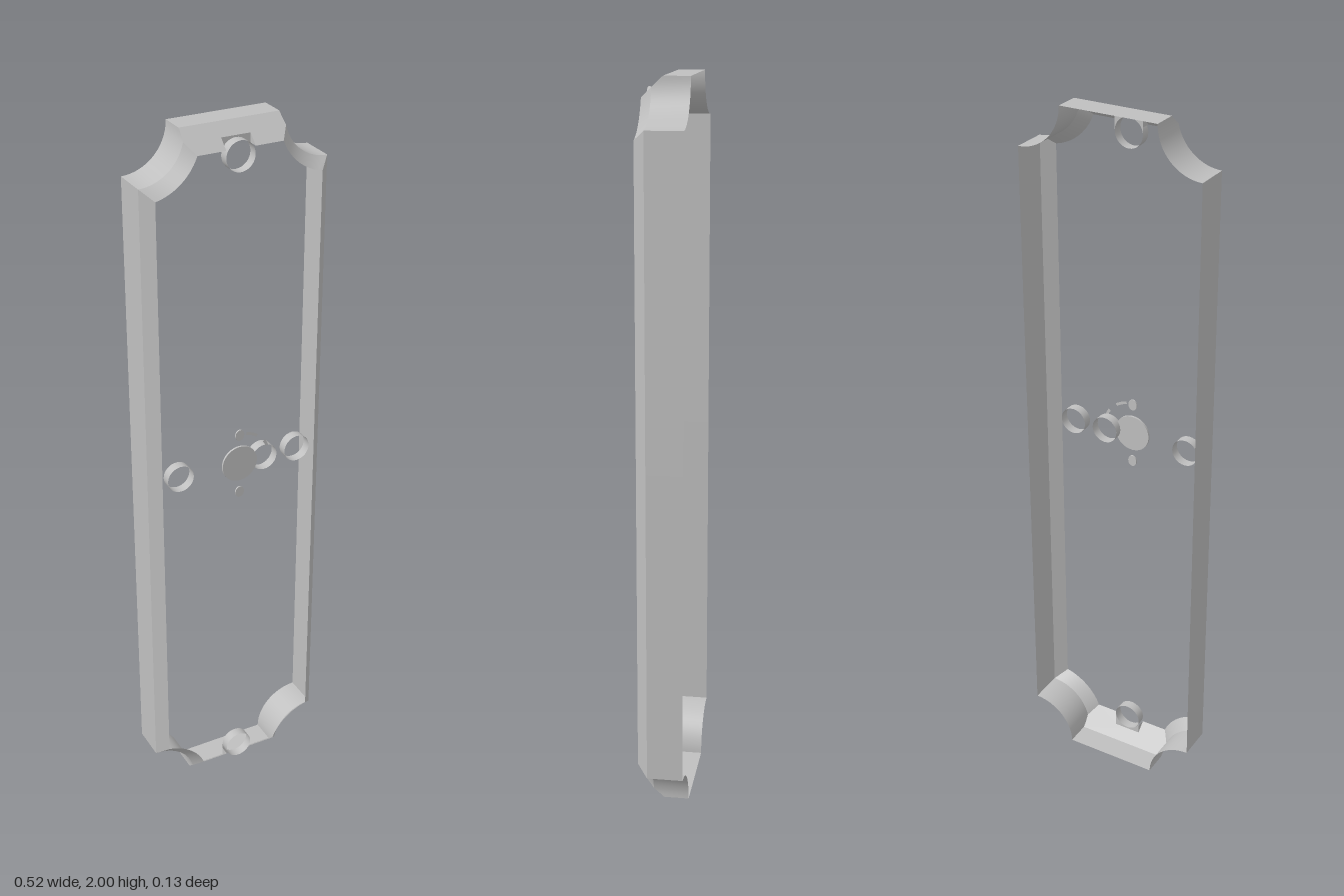
import * as THREE from 'three';

const W = 0.26, BACK = -0.065, FRONT = 0.064, EDGE = 0.034; // half width and depth levels
const R = 0.123, R2 = 0.153, CUT = 0.055;                   // notch radii, end chamfer height
const bevelZ = (dy) => 0.005 + dy * (FRONT - 0.005) / CUT;  // end chamfer plane

const metal = new THREE.MeshStandardMaterial({ color: 0xbfbfbf, side: THREE.DoubleSide });
metal.name = 'plain grey';

function add(parent, geometry, name, x = 0, y = 0, z = 0) {
  const mesh = new THREE.Mesh(geometry, metal);
  mesh.name = name;
  mesh.position.set(x, y, z);
  parent.add(mesh);
  return mesh;
}

// Surface ruled between two rows of points
function strip(rowA, rowB) {
  const pos = [], index = [];
  rowA.forEach((a, i) => {
    pos.push(...a, ...rowB[i]);
    if (i) index.push(2 * i - 2, 2 * i - 1, 2 * i, 2 * i - 1, 2 * i + 1, 2 * i);
  });
  const g = new THREE.BufferGeometry();
  g.setAttribute('position', new THREE.Float32BufferAttribute(pos, 3));
  g.setIndex(index);
  g.computeVertexNormals();
  return g;
}

// Points on the notch, relative to the model's mid height
const notch = (r, t) => [W - r * Math.cos(t), 1 - r * Math.sin(t)];
const sweep = (a, b, n, f) => Array.from({ length: n + 1 }, (_, i) => f(a + (b - a) * i / n));

function frameQuarter() {
  const q = new THREE.Group();
  q.name = 'frameQuarter';
  const t0 = Math.asin((EDGE - 0.005) * CUT / (FRONT - 0.005) / R);
  const t1 = Math.asin(CUT / R2), t2 = Math.acos(0.03 / R2);
  const half = Math.PI / 2;
  const angles = [...sweep(0, t0, 3, (t) => t), ...sweep(t0, half, 14, (t) => t).slice(1)];

  // Notch wall and its chamfer
  add(q, strip(
    angles.map((t) => [...notch(R, t), Math.min(EDGE, bevelZ(R * Math.sin(t)))]),
    angles.map((t) => [...notch(R, t), BACK])), 'notchWall');
  add(q, strip(
    sweep(t0, half, 14, (t) => [...notch(R, t), EDGE]),
    sweep(t1, t2, 14, (t) => [...notch(R2, t), FRONT])), 'notchChamfer');

  // Long side wall and chamfer
  const yOut = 1 - R, yIn = 1 - R2 * Math.sin(t2);
  add(q, strip([[W, 0, BACK], [W, yOut, BACK]], [[W, 0, EDGE], [W, yOut, EDGE]]), 'sideWall');
  add(q, strip([[W, 0, EDGE], [W, yOut, EDGE]],
    [[W - 0.03, 0, FRONT], [W - 0.03, yIn, FRONT]]), 'sideChamfer');

  // End wall and sloping end chamfer with a square bite
  add(q, strip([[0, 1, BACK], [W - R, 1, BACK]], [[0, 1, 0.005], [W - R, 1, 0.005]]), 'endWall');
  const pts = [[0, 1], ...sweep(0, t0, 3, (t) => notch(R, t)), notch(R2, t1),
    [0.04, 1 - CUT], [0.04, 0.97], [0, 0.97]];
  const slope = new THREE.ShapeGeometry(new THREE.Shape(pts.map((p) => new THREE.Vector2(...p))));
  const p = slope.attributes.position;
  for (let i = 0; i < p.count; i++) p.setZ(i, bevelZ(1 - p.getY(i)));
  slope.computeVertexNormals();
  add(q, slope, 'endChamfer');

  // Recess floor around the end hole, and the recess side
  const floor = new THREE.Shape();
  floor.moveTo(0.04, 0.925);
  floor.lineTo(0.04, 0.97);
  floor.lineTo(0, 0.97);
  floor.lineTo(0, 0.965);
  floor.absarc(0, 0.925, 0.04, Math.PI / 2, 0, true);
  add(q, new THREE.ShapeGeometry(floor), 'recessFloor', 0, 0, 0.037);
  add(q, strip([[0.04, 0.97, 0.037], [0.04, 1 - CUT, 0.037]],
    [[0.04, 0.97, 0.037], [0.04, 1 - CUT, FRONT]]), 'recessSide');
  return q;
}

export function createModel() {
  const model = new THREE.Group();
  model.name = 'notchedPlate';

  // Four mirrored quarters of the hollow frame
  for (const sx of [1, -1]) for (const sy of [1, -1]) {
    const q = frameQuarter();
    q.position.y = 1;
    q.scale.set(sx, sy, 1);
    model.add(q);
  }

  // Open hole sleeves
  const holes = [[0, 1.925], [0, 0.075], [-0.176, 1.065], [0.075, 1.065], [0.176, 1.065]];
  holes.forEach(([x, y], i) => {
    const g = new THREE.CylinderGeometry(i < 2 ? 0.04 : 0.038, i < 2 ? 0.04 : 0.038, 0.027, 32, 1, true);
    add(model, g.rotateX(Math.PI / 2), i < 2 ? 'endHole' : 'middleHole', x, y, 0.0505);
  });

  // Central disc
  add(model, new THREE.CylinderGeometry(0.052, 0.052, 0.006, 40).rotateX(Math.PI / 2),
    'centreDisc', 0, 1.065, 0.062);

  // Small marks above and below the disc
  for (const y of [1.152, 0.976]) {
    const mark = add(model, new THREE.CylinderGeometry(0.013, 0.013, 0.004, 16).rotateX(Math.PI / 2),
      'smallMark', 0, y, 0.063);
    mark.scale.y = 1.25;
  }
  // Curved dashes beside the disc
  for (const [start, length] of [[0.95, 0.4], [0.4, 0.22]]) {
    add(model, new THREE.RingGeometry(0.086, 0.094, 12, 1, start, length), 'curvedDash', 0, 1.065, 0.064);
  }
  return model;
}
